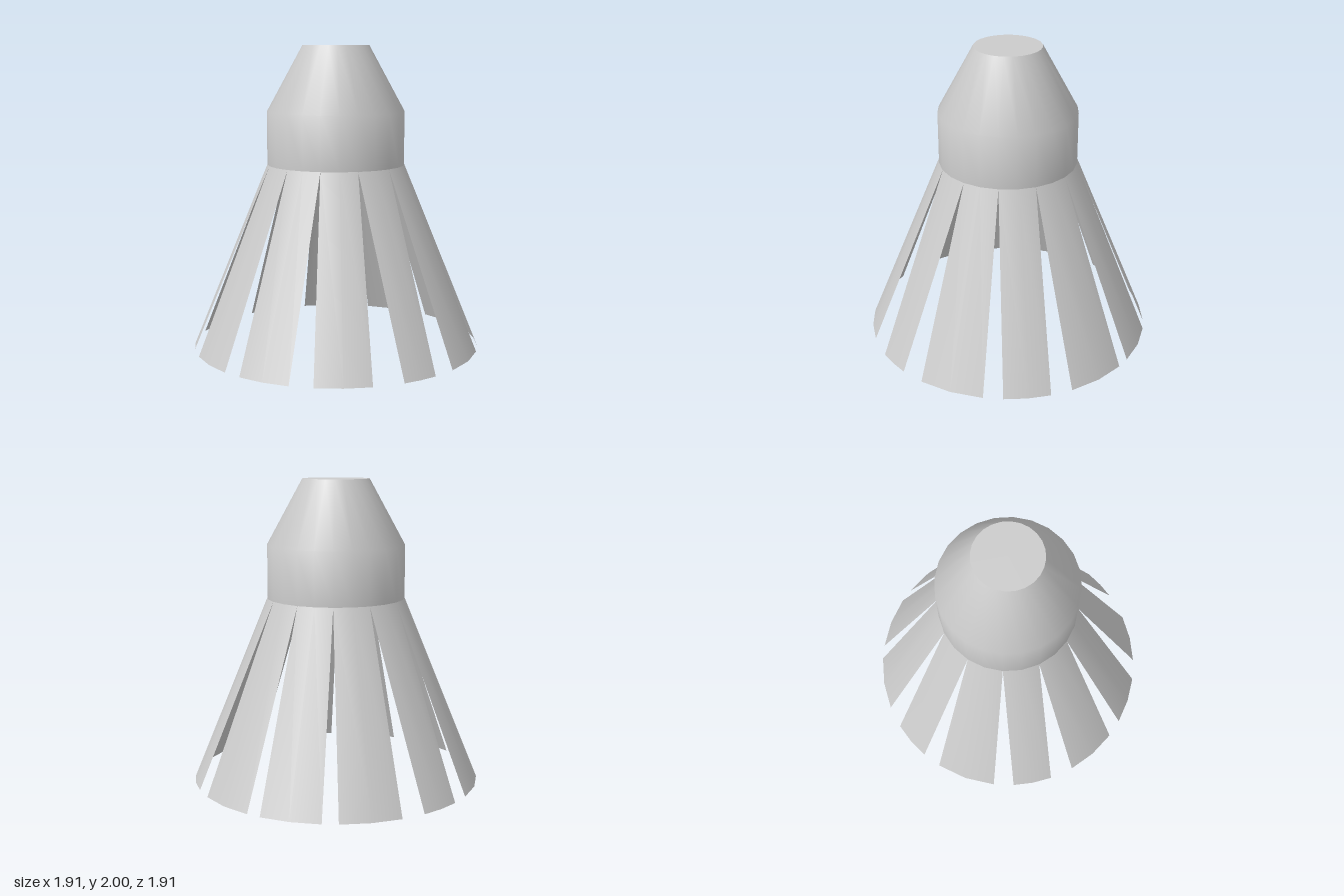
import * as THREE from 'three';
import { ParametricGeometry } from 'three/addons/geometries/ParametricGeometry.js';

const RIM = 0.455, RIM_Y = 1.22, SKIRT = 0.955, TIP = 0.22;

// Start and end angle (degrees from +z towards +x) of each vane at the ground
const VANES = [
  [1.8, 28], [35.7, 54.1], [62.8, 87.6], [93.3, 117.1], [123.2, 147], [156.7, 173.9],
  [182.1, 207.9], [216.6, 233.4], [243.6, 266.4], [274.2, 295.2], [304.3, 325.6], [337.8, 352],
];

export function createModel() {
  const group = new THREE.Group();
  const material = new THREE.MeshStandardMaterial({ color: 0xcccccc, side: THREE.DoubleSide });
  const add = (name, geometry) => {
    const mesh = new THREE.Mesh(geometry, material);
    mesh.name = name;
    group.add(mesh);
    return mesh;
  };

  // Hollow body: straight collar under a tapered nose
  const profile = [[RIM, RIM_Y], [RIM, 1.57], [TIP, 2]].map(([r, y]) => new THREE.Vector2(r, y));
  add('body', new THREE.LatheGeometry(profile, 24));

  // Flat lid on the nose
  const lid = add('lid', new THREE.CircleGeometry(TIP, 24));
  lid.rotation.x = -Math.PI / 2;
  lid.position.y = 2;

  // Flared vanes: each fills 30 degrees of the rim and is narrower at the ground
  VANES.forEach(([start, end], i) => {
    const vane = (u, v, target) => {
      const low = THREE.MathUtils.degToRad(THREE.MathUtils.lerp(start, end, u));
      const high = THREE.MathUtils.degToRad(30 * (i + u));
      target.set(
        THREE.MathUtils.lerp(SKIRT * Math.sin(low), RIM * Math.sin(high), v),
        RIM_Y * v,
        THREE.MathUtils.lerp(SKIRT * Math.cos(low), RIM * Math.cos(high), v),
      );
    };
    add(`vane${i + 1}`, new ParametricGeometry(vane, 2, 1));
  });

  return group;
}
